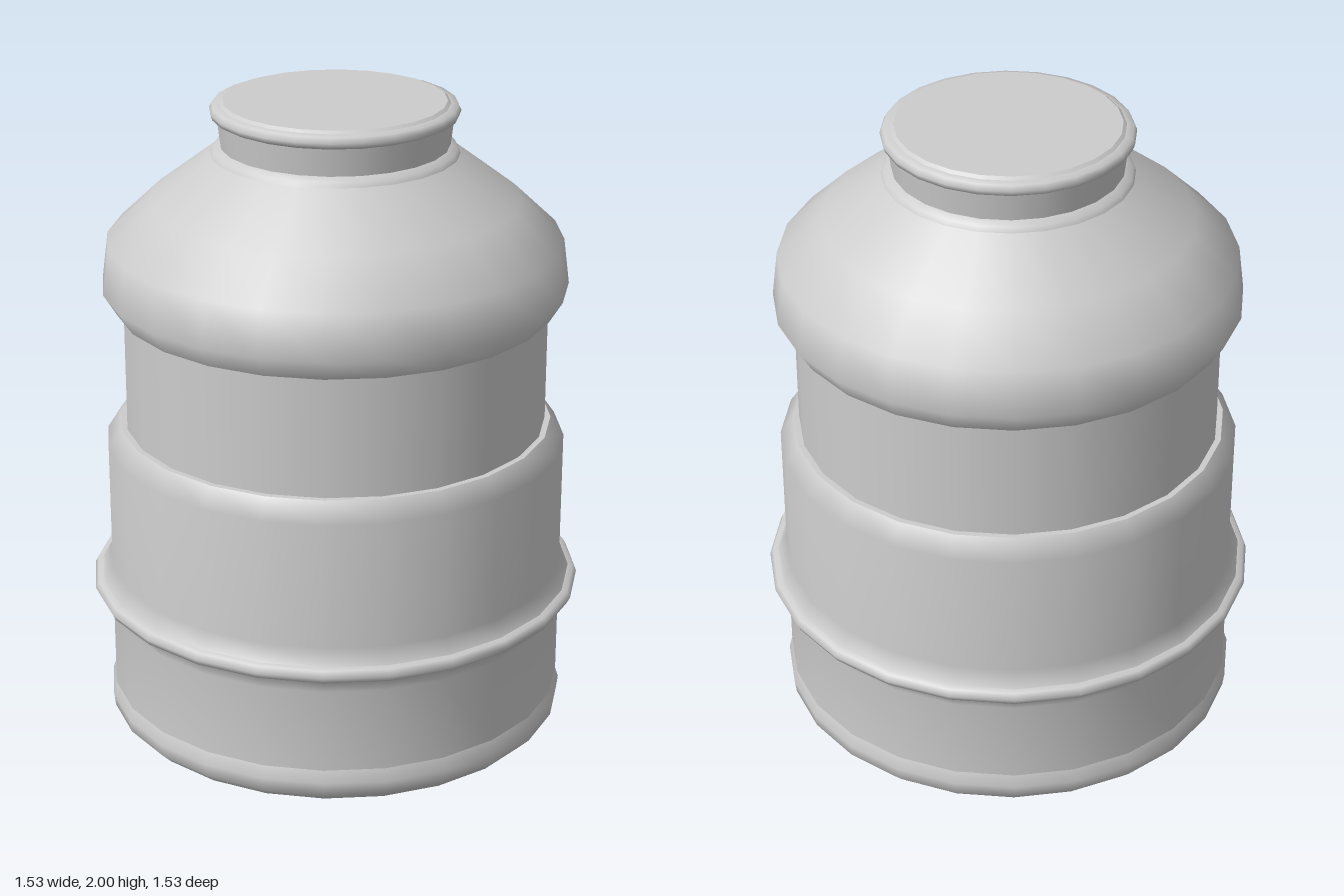
import * as THREE from 'three';

const SIDES = 24;

export function createModel() {
  const model = new THREE.Group();
  model.name = 'container';
  const grey = new THREE.MeshStandardMaterial({ color: 0xcccccc });
  grey.name = 'plain grey';

  // Each part is a smooth turned section, running bottom to top; edges between parts stay sharp.
  function turned(name, profile) {
    const points = profile.map(([r, y]) => new THREE.Vector2(r, y));
    const mesh = new THREE.Mesh(new THREE.LatheGeometry(points, SIDES), grey);
    mesh.name = name;
    model.add(mesh);
  }

  // Foot pad, set in a groove inside the base ring
  turned('footBottom', [[0, 0], [0.54, 0]]);
  turned('footWall', [[0.54, 0], [0.54, 0.08]]);
  turned('footGroove', [[0.54, 0.08], [0.59, 0.08]]);
  turned('baseRing', [[0.59, 0.08], [0.59, 0.05], [0.625, 0.02], [0.685, 0.02],
    [0.715, 0.05], [0.72, 0.09], [0.705, 0.13]]);

  // Lower body, flaring out under the hoop
  turned('lowerBody', [[0.71, 0.13], [0.71, 0.395], [0.738, 0.445]]);
  turned('hoop', [[0.73, 0.445], [0.755, 0.449], [0.765, 0.468], [0.755, 0.487], [0.73, 0.491]]);
  turned('upperBody', [[0.738, 0.491], [0.71, 0.54], [0.71, 0.935], [0.668, 0.995]]);
  turned('bodyLedge', [[0.668, 0.995], [0.65, 0.995]]);

  // Recessed band
  turned('waistBand', [[0.65, 0.995], [0.65, 1.37]]);

  // Shoulder
  turned('shoulderUnderside', [[0.65, 1.37], [0.67, 1.37]]);
  turned('shoulder', [[0.67, 1.37], [0.71, 1.435], [0.692, 1.575], [0.56, 1.70], [0.375, 1.84]]);

  // Neck and lip
  turned('collar', [[0.375, 1.84], [0.367, 1.855], [0.345, 1.866]]);
  turned('neck', [[0.345, 1.866], [0.355, 1.95]]);
  turned('lip', [[0.355, 1.95], [0.37, 1.957], [0.375, 1.972], [0.367, 1.988], [0.345, 1.992]]);
  turned('lidEdge', [[0.345, 1.992], [0.335, 2]]);
  turned('lidTop', [[0.335, 2], [0, 2]]);

  return model;
}
